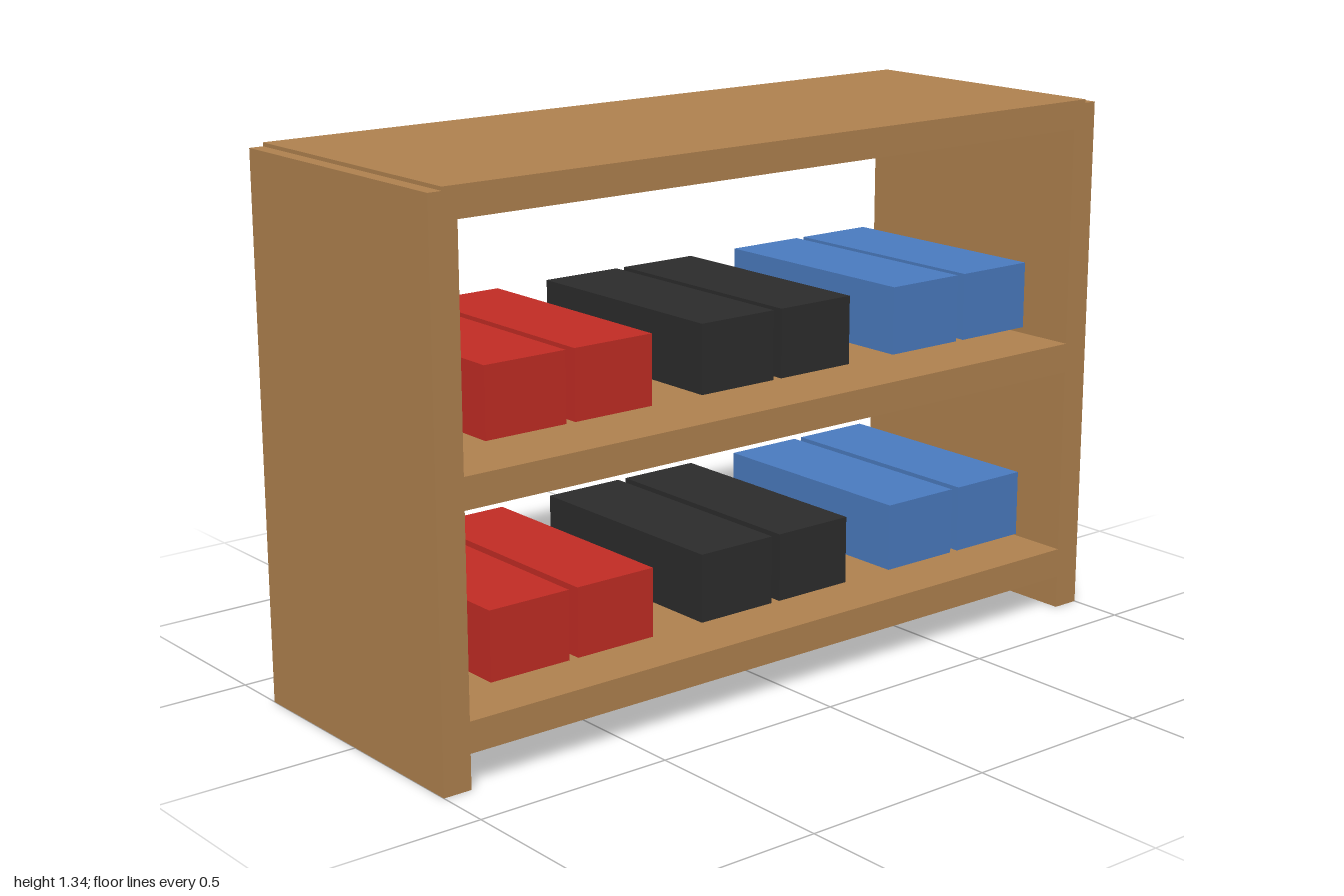
import * as THREE from 'three';

const material = (name, color) => {
  const m = new THREE.MeshStandardMaterial({ color });
  m.name = name;
  return m;
};

export function createModel() {
  const wood = material('wood', 0xb0824f);
  const red = material('red', 0xc22c24);
  const black = material('black', 0x2c2c2c);
  const blue = material('blue', 0x4a7bc0);

  const model = new THREE.Group();
  model.name = 'shoeRack';

  const addBox = (parent, name, mat, size, position) => {
    const mesh = new THREE.Mesh(new THREE.BoxGeometry(...size), mat);
    mesh.name = name;
    mesh.position.set(...position);
    parent.add(mesh);
  };

  const depth = 0.72, board = 0.072, sideHeight = 1.328;

  // Side panels reach the floor
  for (const [name, s] of [['leftSide', 1], ['rightSide', -1]]) {
    addBox(model, name, wood, [board, sideHeight, depth], [s * (1 - board / 2), sideHeight / 2, 0]);
  }

  // Top board is let into the sides and stands slightly proud of them
  addBox(model, 'topBoard', wood, [1.93, board, depth], [0, 1.301, 0]);

  // Shelves, each holding three pairs of blocky shoes
  const pairs = [['redPair', red, -0.602], ['blackPair', black, 0], ['bluePair', blue, 0.602]];
  for (const [name, y] of [['lowerShelf', 0.122], ['upperShelf', 0.675]]) {
    const shelf = new THREE.Group();
    shelf.name = name;
    shelf.position.y = y;
    model.add(shelf);
    addBox(shelf, name + 'Board', wood, [2 - 2 * board, 0.075, depth], [0, 0, 0]);

    for (const [pairName, mat, x] of pairs) {
      const pair = new THREE.Group();
      pair.name = pairName;
      pair.position.x = x;
      shelf.add(pair);
      for (const s of [-1, 1]) {
        addBox(pair, s > 0 ? 'leftShoe' : 'rightShoe', mat, [0.216, 0.168, 0.6], [s * 0.12, 0.169, 0]);
      }
    }
  }
  return model;
}
